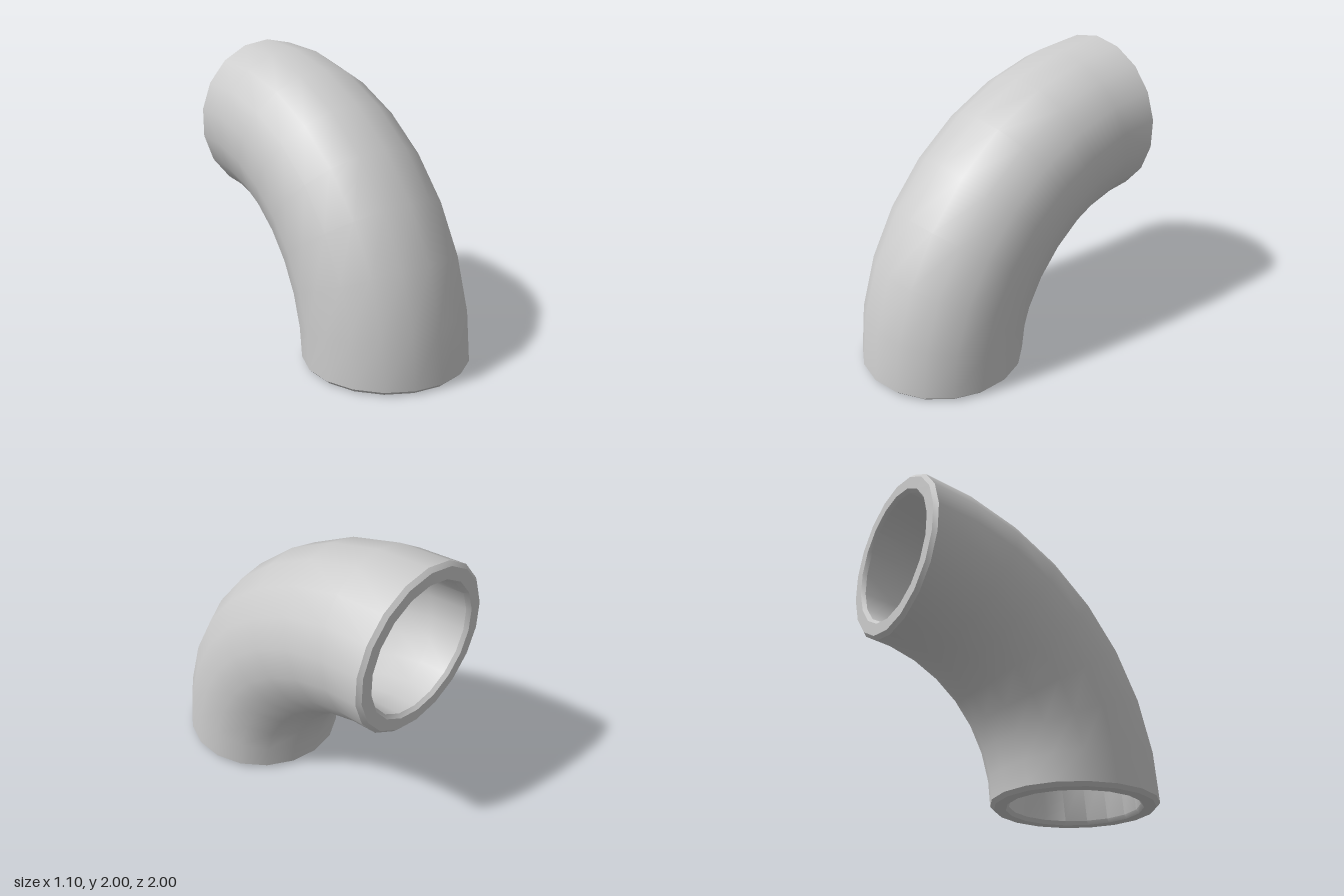
import * as THREE from 'three';
import { toCreasedNormals } from 'three/addons/utils/BufferGeometryUtils.js';

const SIDES = 18, STEPS = 8;
const BEND = 1.44, OUTER = 0.56, INNER = 0.435, BEVEL = 0.025;

// One cross-section ring: angle along the bend, tube radius, shift along the bend direction
function ring(angle, radius, shift = 0) {
  const points = [];
  for (let i = 0; i < SIDES; i++) {
    const phi = (i / SIDES) * Math.PI * 2;
    const r = BEND + radius * Math.cos(phi);
    points.push(
      radius * Math.sin(phi),
      r * Math.sin(angle) + shift * Math.cos(angle),
      -1 + r * Math.cos(angle) - shift * Math.sin(angle)
    );
  }
  return points;
}

// Rings along one wall, with the small bevel at both mouths
function wall(radius, lipRadius) {
  const end = Math.PI / 2;
  const rings = [ring(0, lipRadius), ring(0, radius, BEVEL)];
  for (let i = 1; i < STEPS; i++) rings.push(ring((end * i) / STEPS, radius));
  rings.push(ring(end, radius, -BEVEL), ring(end, lipRadius));
  return rings;
}

export function createModel() {
  // Up the outside, over the far rim, back down the bore, closing at the near rim
  const rings = [
    ...wall(OUTER, OUTER - BEVEL),
    ...wall(INNER, INNER + 0.02).reverse(),
  ];
  const index = [];
  for (let j = 0; j < rings.length; j++) {
    const row = j * SIDES, next = ((j + 1) % rings.length) * SIDES;
    for (let i = 0; i < SIDES; i++) {
      const k = (i + 1) % SIDES;
      index.push(row + i, row + k, next + k, row + i, next + k, next + i);
    }
  }
  const geometry = new THREE.BufferGeometry();
  geometry.setAttribute('position', new THREE.Float32BufferAttribute(rings.flat(), 3));
  geometry.setIndex(index);

  const pipe = new THREE.Mesh(
    toCreasedNormals(geometry, 0.6),
    new THREE.MeshStandardMaterial({ color: 0xcccccc })
  );
  pipe.name = 'elbowPipe';

  const group = new THREE.Group();
  group.name = 'pipeElbow';
  group.add(pipe);
  return group;
}
